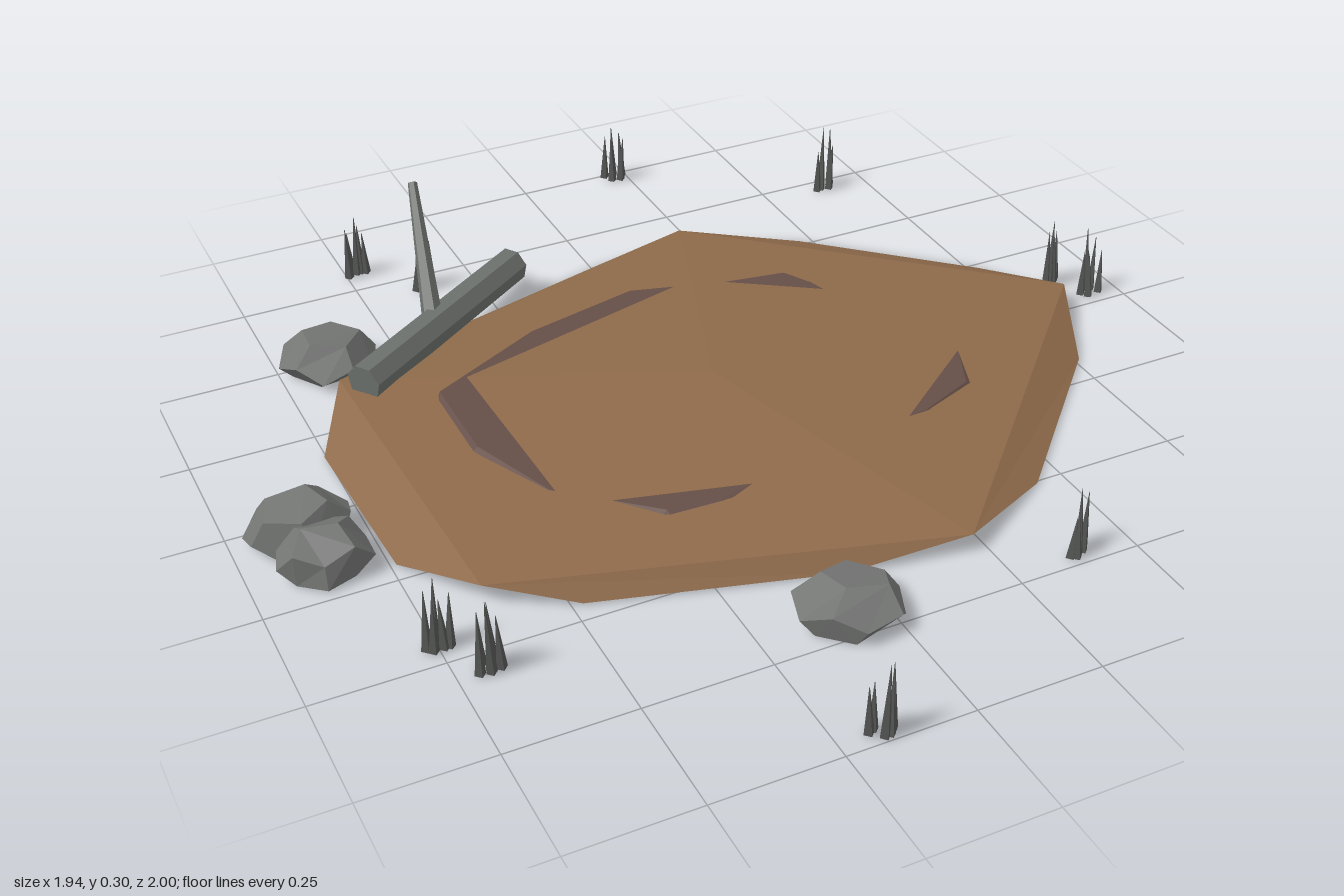
import * as THREE from 'three';

const mat = (name, color) => {
  const m = new THREE.MeshStandardMaterial({ color, flatShading: true });
  m.name = name;
  return m;
};

// Repeatable random numbers
function seeded(seed) {
  let s = seed;
  return () => (s = (s * 16807) % 2147483647) / 2147483647;
}

// Flat-faced geometry from a list of triangles
function faceted(triangles) {
  const g = new THREE.BufferGeometry();
  g.setAttribute('position', new THREE.Float32BufferAttribute(triangles.flat(2), 3));
  g.computeVertexNormals();
  return g;
}

// Mound: a peak, five raised corners and two ground points between each pair of corners
function moundGeometry(peak, high, low, base) {
  const t = [];
  high.forEach((h, i) => {
    const next = high[(i + 1) % 5];
    const a = low[2 * i], b = low[2 * i + 1], before = low[(2 * i + 9) % 10], after = low[(2 * i + 2) % 10];
    t.push([peak, h, next], [h, a, b], [h, b, next], [before, a, h]);
    t.push([base, b, a], [base, after, b]);
  });
  return faceted(t);
}

// Closed low slab: fan top, sloped wall between two rims, fan bottom
function slabGeometry(peak, top, bottom, base) {
  const t = [];
  top.forEach((p, i) => {
    const j = (i + 1) % top.length;
    t.push([peak, p, top[j]], [p, bottom[i], bottom[j]], [p, bottom[j], top[j]], [base, bottom[j], bottom[i]]);
  });
  return faceted(t);
}

// Tapered cylinder between two points
function rod(a, b, ra, rb, sides, turn = 0) {
  const p = new THREE.Vector3(...a), q = new THREE.Vector3(...b);
  const d = q.clone().sub(p);
  const g = new THREE.CylinderGeometry(rb, ra, d.length(), sides, 1, false, turn);
  g.applyQuaternion(new THREE.Quaternion().setFromUnitVectors(new THREE.Vector3(0, 1, 0), d.normalize()));
  p.add(q).multiplyScalar(0.5);
  return g.translate(p.x, p.y, p.z);
}

// Chunky boulder, flattened where it meets the ground
function boulder(rx, ry, rz, cy, seed) {
  const g = new THREE.DodecahedronGeometry(1, 0).rotateX(0.5 + seed).rotateZ(0.4 * seed);
  const pos = g.attributes.position;
  const p = new THREE.Vector3();
  for (let i = 0; i < pos.count; i++) {
    p.fromBufferAttribute(pos, i);
    const k = 1.03 + 0.09 * Math.sin(p.x * 5.1 + seed * 2.3) * Math.cos(p.z * 4.7 + p.y * 3.9 + seed);
    pos.setXYZ(i, p.x * rx * k, Math.max(0, cy + p.y * ry * k), p.z * rz * k);
  }
  g.computeVertexNormals();
  return g;
}

export function createModel() {
  const model = new THREE.Group();
  const earth = mat('earth brown', 0x8e6a4a);
  const mud = mat('dark mud', 0x654e48);
  const stone = mat('stone grey', 0x737573);
  const wood = mat('weathered wood', 0x6c706c);
  const grass = mat('dry grass', 0x545654);
  const add = (parent, name, geometry, material) => {
    const m = new THREE.Mesh(geometry, material);
    m.name = name;
    parent.add(m);
    return m;
  };

  // Dirt mound
  const corners = [[0.86, 0.045, -0.03], [0.22, 0.037, -0.62], [-0.66, 0.042, -0.36],
    [-0.64, 0.042, 0.38], [0.22, 0.037, 0.63]];
  const ground = [[0.77, -0.23], [0.47, -0.51], [0.01, -0.61], [-0.45, -0.48], [-0.755, -0.17],
    [-0.74, 0.21], [-0.48, 0.46], [-0.02, 0.59], [0.44, 0.51], [0.76, 0.18]];
  add(model, 'mound', moundGeometry([0, 0.085, 0], corners,
    ground.map(([x, z]) => [x, 0.003, z]), [0, 0.003, 0]), earth);

  // Mud bed, breaking through the mound as broken crescents
  const bed = [[-0.5, 0], [-0.43, 0.19], [-0.26, 0.34], [-0.15, 0.35], [0.1, 0.3], [0.34, 0.265], [0.46, 0.215],
    [0.51, 0.1], [0.45, 0], [0.42, -0.1], [0.36, -0.27], [0.33, -0.325], [0.2, -0.345], [0, -0.4],
    [-0.25, -0.34], [-0.5, -0.21]];
  add(model, 'mudBed', slabGeometry([0, 0.0555, 0],
    bed.map(([x, z]) => [x, 0.0555 - 0.003 * x, z]),
    bed.map(([x, z]) => {
      const a = Math.atan2(z, x);
      return [0.01 + 0.61 * Math.cos(a), 0, 0.03 + 0.47 * Math.sin(a)];
    }), [0, 0, 0.03]), mud);

  // Fallen log with one broken branch
  const log = new THREE.Group();
  log.name = 'fallenLog';
  add(log, 'trunk', rod([-0.63, 0.067, -0.29], [-0.195, 0.075, -0.585], 0.04, 0.038, 7, -0.97 + Math.PI / 7), wood);
  add(log, 'branch', rod([-0.43, 0.085, -0.44], [-0.388, 0.295, -0.635], 0.022, 0.01, 6), wood);
  model.add(log);

  // Boulders: x, z, half sizes x y z, centre height
  [[-0.65, -0.48, 0.1, 0.06, 0.1, 0.026], [-0.065, 0.685, 0.105, 0.05, 0.1, 0.02],
    [-0.87, 0.055, 0.104, 0.066, 0.08, 0.033], [-0.855, 0.15, 0.09, 0.062, 0.08, 0.028]]
    .forEach(([x, z, rx, ry, rz, cy], i) => {
      add(model, 'boulder' + (i + 1), boulder(rx, ry, rz, cy, i + 1), stone).position.set(x, 0, z);
    });

  // Grass tufts: x, z, height
  const rand = seeded(4711);
  [[0.22, -0.98, 0.13], [-0.475, -0.82, 0.14], [-0.36, -0.7, 0.14], [0.645, -0.72, 0.15], [0.88, -0.11, 0.15],
    [0.935, -0.04, 0.15], [-0.75, 0.45, 0.14], [-0.69, 0.545, 0.16], [0.39, 0.718, 0.14], [-0.17, 0.975, 0.155]]
    .forEach(([x, z, h], t) => {
      const tuft = new THREE.Group();
      tuft.name = 'grassTuft' + (t + 1);
      tuft.position.set(x, 0, z);
      for (let i = 0; i < 5; i++) {
        const bx = (i - 2) * 0.01, bz = (rand() - 0.5) * 0.028;
        const tall = i === 2 ? h : h * (0.6 + 0.35 * rand());
        const tip = [bx + (rand() - 0.5) * 0.016, tall, bz + (rand() - 0.5) * 0.016];
        add(tuft, 'blade', rod([bx, 0, bz], tip, 0.0105, 0.0005, 4), grass);
      }
      model.add(tuft);
    });

  return model;
}
